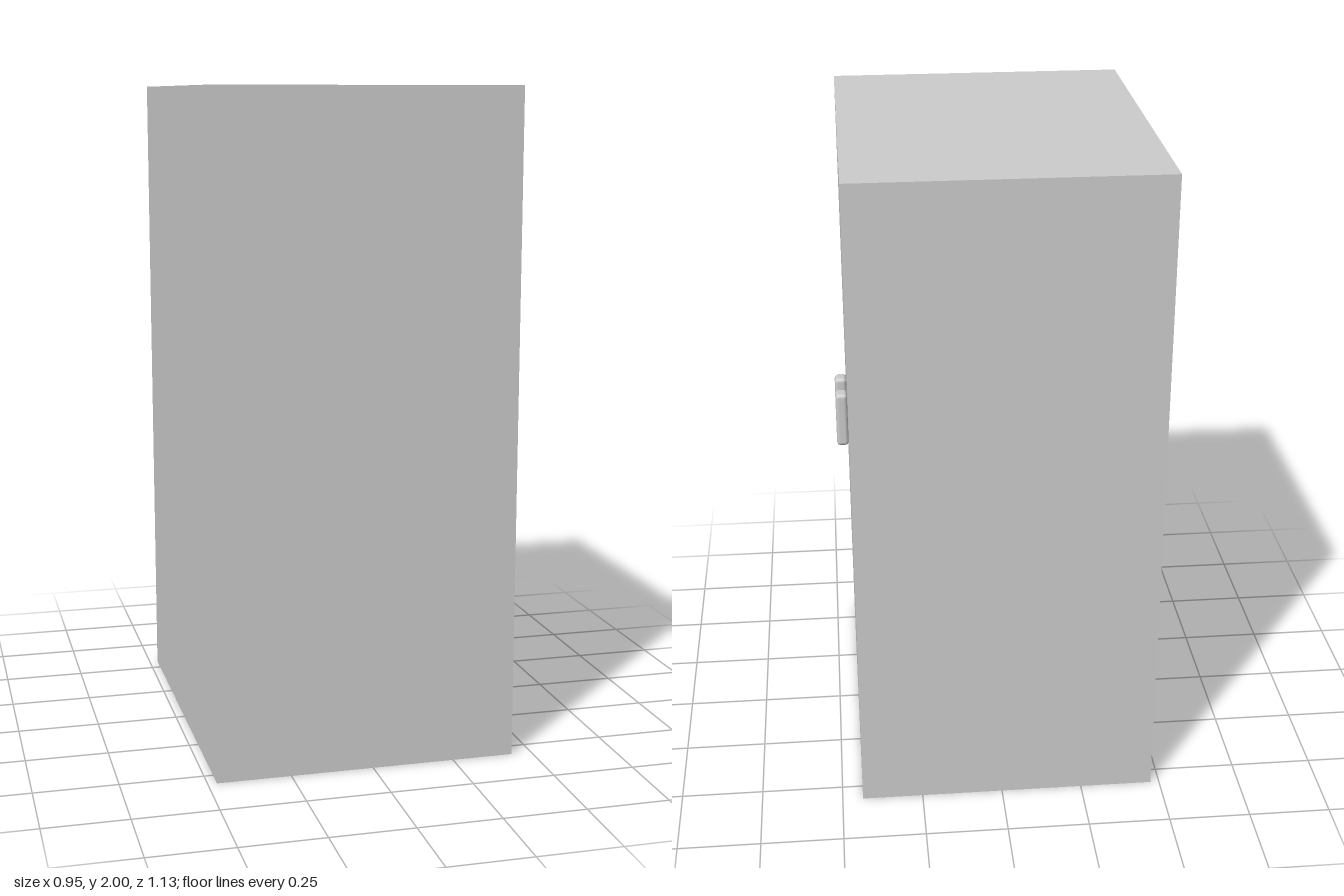
import * as THREE from 'three';
import { RoundedBoxGeometry } from 'three/addons/geometries/RoundedBoxGeometry.js';

export function createModel() {
  const group = new THREE.Group();
  const material = new THREE.MeshStandardMaterial({ color: 0xcccccc });

  // Plain cabinet body
  const body = new THREE.Mesh(new THREE.BoxGeometry(0.91, 2, 1.126), material);
  body.name = 'cabinetBody';
  body.position.set(-0.018, 1, 0);
  group.add(body);

  // Pair of rounded door handles on the +x side
  const handleGeometry = new RoundedBoxGeometry(0.037, 0.175, 0.05, 4, 0.012);
  for (const side of [1, -1]) {
    const handle = new THREE.Mesh(handleGeometry, material);
    handle.name = side > 0 ? 'frontHandle' : 'backHandle';
    handle.position.set(0.4545, 1.083, side * 0.06);
    group.add(handle);
  }
  return group;
}
